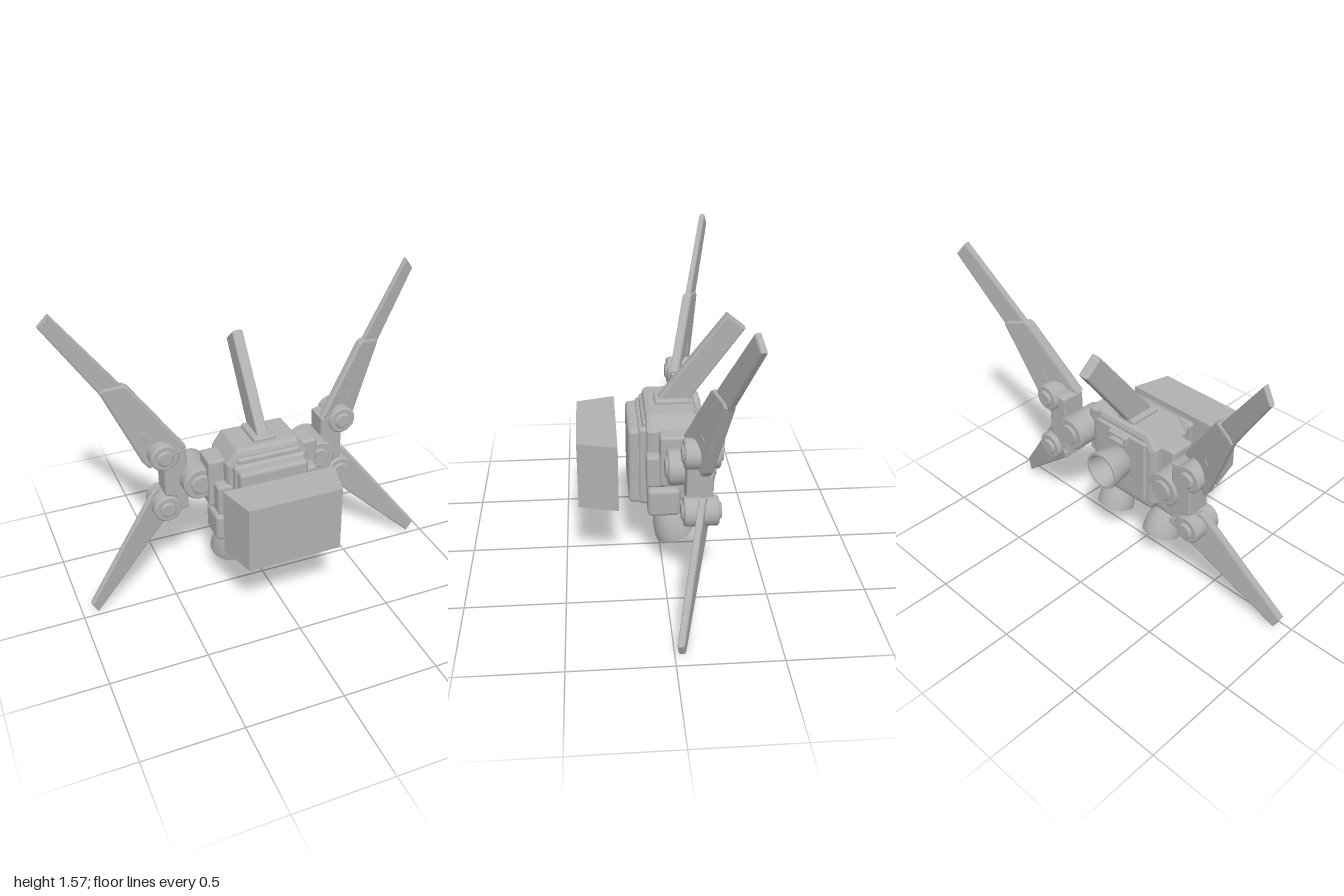
import * as THREE from 'three';
import { toCreasedNormals } from 'three/addons/utils/BufferGeometryUtils.js';
import { RoundedBoxGeometry } from 'three/addons/geometries/RoundedBoxGeometry.js';

export function createModel() {
  const model = new THREE.Group();
  model.name = 'wingedPack';
  const grey = new THREE.MeshStandardMaterial({ color: 0xb0b0b0 });
  grey.name = 'plain grey';

  const add = (name, geometry, x = 0, y = 0, z = 0) => {
    const mesh = new THREE.Mesh(geometry, grey);
    mesh.name = name;
    mesh.position.set(x, y, z);
    model.add(mesh);
    return mesh;
  };

  // Rounded block given by its limits
  const block = (name, [x0, x1], [y0, y1], [z0, z1], r = 0.015) =>
    add(name, new RoundedBoxGeometry(Math.abs(x1 - x0), y1 - y0, z1 - z0, 2, r),
      (x0 + x1) / 2, (y0 + y1) / 2, (z0 + z1) / 2);

  // Bevelled slab from an outline in xy
  const slab = (points, z0, z1, bevel) => {
    const shape = new THREE.Shape(points.map(([x, y]) => new THREE.Vector2(x, y)));
    const g = new THREE.ExtrudeGeometry(shape, {
      depth: z1 - z0 - 2 * bevel, bevelThickness: bevel, bevelSize: bevel,
      bevelOffset: -bevel, bevelSegments: 2,
    });
    return g.translate(0, 0, z0 + bevel);
  };

  // Short cylinder along z
  const disc = (name, x, y, r, z0, z1) => {
    const b = 0.008, h = (z1 - z0) / 2;
    const profile = [[0, -h], [r - b, -h], [r, -h + b], [r, h - b], [r - b, h], [0, h]]
      .map(([a, c]) => new THREE.Vector2(a, c));
    const g = toCreasedNormals(new THREE.LatheGeometry(profile, 32).rotateX(Math.PI / 2), 0.5);
    add(name, g, x, y, (z0 + z1) / 2);
  };

  // Hollow bell with its mouth at local y = 0
  const bell = (name, x, y, z, tilt, throat, length) => {
    const profile = [[0, 0.8], [throat - 0.02, 0.75], [0.072, 0.4], [0.084, 0.06], [0.088, 0],
      [0.1, 0], [0.1, 0.12], [0.09, 0.42], [throat + 0.013, 0.75], [throat, 0.88],
      [throat - 0.006, 1], [0, 1]].map(([r, t]) => new THREE.Vector2(r, t * length));
    add(name, toCreasedNormals(new THREE.LatheGeometry(profile, 32), 0.6), x, y, z).rotation.x = tilt;
  };

  // Wing panel swept in z as it runs outward
  const wing = (name, side, points, thickness, bevel, rootZ, sweep) => {
    const g = slab(points.map(([x, y]) => [x * side, y]), -thickness / 2, thickness / 2, bevel);
    const p = g.attributes.position;
    for (let i = 0; i < p.count; i++) {
      p.setZ(i, p.getZ(i) + rootZ + sweep * (Math.abs(p.getX(i)) - 0.375));
    }
    g.computeVertexNormals();
    add(name, g);
  };

  // Main body and stepped front plates
  add('body', slab([[-0.19, 0.41], [0.19, 0.41], [0.22, 0.46], [0.22, 0.79], [0.165, 0.865],
    [-0.165, 0.865], [-0.22, 0.79], [-0.22, 0.46]], -0.175, 0.085, 0.03));
  block('frontPlateInner', [-0.195, 0.195], [0.37, 0.80], [0.05, 0.12], 0.02);
  block('frontPlateOuter', [-0.185, 0.185], [0.375, 0.785], [0.10, 0.17], 0.02);
  block('frontPlateRidge', [-0.17, 0.17], [0.76, 0.83], [0.05, 0.10], 0.015);
  block('backPanel', [-0.17, 0.17], [0.46, 0.82], [-0.19, -0.16], 0.012);
  block('belly', [-0.19, 0.19], [0.37, 0.45], [-0.08, 0.08], 0.02);

  // Floating front block, narrower toward the front
  const frontBlock = new THREE.BoxGeometry(0.6, 0.355, 0.2);
  const fp = frontBlock.attributes.position;
  for (let i = 0; i < fp.count; i++) if (fp.getZ(i) > 0) fp.setX(i, fp.getX(i) * 0.82);
  frontBlock.computeVertexNormals();
  add('frontBlock', frontBlock, 0, 0.578, 0.325);

  // Raked fin on its base
  add('fin', slab([[0.01, 0.86], [0.01, 0.885], [-0.33, 1.32], [-0.422, 1.245], [-0.14, 0.86]],
    -0.029, 0.029, 0.01).rotateY(-Math.PI / 2));
  block('finBase', [-0.06, 0.06], [0.84, 0.885], [-0.15, 0.03], 0.012);

  // Rear thruster with a handle above it
  bell('rearThruster', 0, 0.645, -0.325, Math.PI / 2, 0.068, 0.17);
  for (const y of [0.765, 0.805]) block('handleBar', [-0.06, 0.06], [y - 0.008, y + 0.008], [-0.215, -0.17], 0.005);
  for (const x of [-0.053, 0.053]) block('handleEnd', [x - 0.008, x + 0.008], [0.76, 0.81], [-0.215, -0.17], 0.005);

  for (const s of [1, -1]) {
    // Shoulder and the blocks around it
    block('shoulder', [s * 0.19, s * 0.30], [0.53, 0.80], [-0.12, 0.02], 0.015);
    block('shoulderFront', [s * 0.18, s * 0.275], [0.51, 0.68], [-0.02, 0.085], 0.015);
    block('sideSkirt', [s * 0.18, s * 0.25], [0.42, 0.56], [-0.13, 0.05], 0.015);

    // Lower thruster and its pod
    block('thrusterPod', [s * 0.08, s * 0.285], [0.345, 0.50], [-0.085, 0.08], 0.025);
    bell('lowerThruster', s * 0.17, 0.19, -0.065, 0.33, 0.055, 0.19);

    // Shoulder joint
    disc('shoulderJoint', s * 0.33, 0.66, 0.09, -0.235, -0.012);
    disc('shoulderJointCap', s * 0.33, 0.66, 0.055, -0.247, 0);

    // Bracket that carries the wing hinges
    add('wingBracket', slab([[0.375, 0.48], [0.42, 0.475], [0.44, 0.56], [0.497, 0.58],
      [0.497, 0.745], [0.44, 0.765], [0.42, 0.85], [0.375, 0.84]].map(([x, y]) => [x * s, y]),
      -0.22, -0.09, 0.01));
    for (const y of [0.815, 0.505]) {
      disc('wingHinge', s * 0.492, y, 0.074, -0.243, -0.075);
      disc('wingHingeCap', s * 0.492, y, 0.043, -0.258, -0.064);
    }

    // Upper wing: root panel, tip panel and a small inset plate
    wing('upperWingRoot', s, [[0.375, 0.85], [0.555, 0.725], [0.585, 0.76], [0.76, 1.165],
      [0.74, 1.185], [0.645, 1.206], [0.625, 1.195]], 0.05, 0.012, -0.105, -0.365);
    wing('upperWingTip', s, [[0.56, 1.08], [0.70, 1.07], [0.995, 1.51], [0.941, 1.575]],
      0.03, 0.008, -0.105, -0.365);
    wing('upperWingPlate', s, [[0.535, 0.885], [0.565, 0.87], [0.588, 0.93], [0.56, 0.945]],
      0.056, 0.002, -0.105, -0.365);

    // Lower wing
    wing('lowerWing', s, [[0.375, 0.475], [0.40, 0.46], [0.92, 0.005], [0.952, 0.07],
      [0.55, 0.585], [0.53, 0.597], [0.375, 0.51]], 0.036, 0.01, -0.215, 0.33);
  }
  return model;
}
